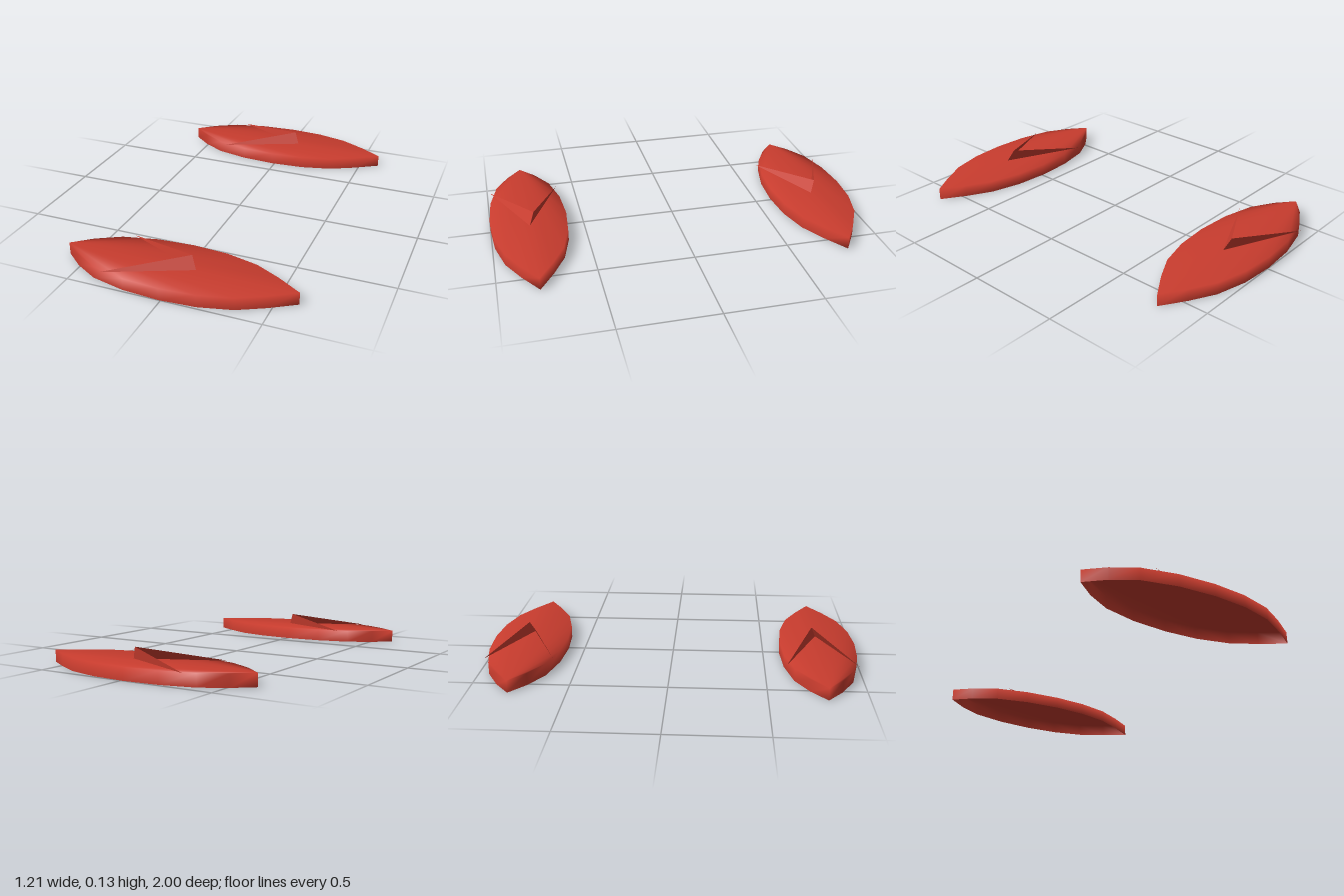
import * as THREE from 'three';

const HEIGHT = 0.065;

function buildGeometry(positions, index) {
  const geometry = new THREE.BufferGeometry();
  geometry.setAttribute('position', new THREE.Float32BufferAttribute(positions, 3));
  if (index) geometry.setIndex(index);
  geometry.computeVertexNormals();
  return geometry;
}

// Leaf-shaped shell, open underneath, with normals shared by the top and the wall
function padGeometry() {
  const half = [[-0.607, 0], [-0.51, 0.08], [-0.385, 0.15], [-0.205, 0.192], [-0.01, 0.205],
    [0.175, 0.192], [0.345, 0.15], [0.48, 0.08], [0.607, 0]];
  const mirrored = half.slice(1, -1).reverse().map(([x, z]) => [x, -z]);
  const ring = [...half, ...mirrored];
  const n = ring.length;
  const positions = [];
  for (const y of [HEIGHT, 0]) for (const [x, z] of ring) positions.push(x, y, z);

  const index = [];
  for (let i = 1; i < n - 1; i++) index.push(0, i, i + 1); // top
  for (let i = 0; i < n; i++) {
    const j = (i + 1) % n;
    index.push(n + i, n + j, j, n + i, j, i); // wall
  }
  return buildGeometry(positions, index);
}

// Two thin triangular fins meeting at a raised peak, open behind
function arrowGeometry() {
  const peak = [0.06, 0.128, -0.026];
  const tip = [0.09, HEIGHT, 0];
  const frontEnd = [-0.335, HEIGHT, 0.187];
  const backEnd = [-0.335, HEIGHT, -0.187];
  return buildGeometry([...frontEnd, ...tip, ...peak, ...tip, ...backEnd, ...peak]);
}

export function createModel() {
  const model = new THREE.Group();
  const red = new THREE.MeshStandardMaterial({ color: 0xc83c2e, side: THREE.DoubleSide });
  red.name = 'red';
  const pad = padGeometry();
  const arrow = arrowGeometry();

  // Two identical floats, one in front and one behind
  for (const [name, z] of [['frontFloat', 0.795], ['backFloat', -0.795]]) {
    const float = new THREE.Group();
    float.name = name;
    const padMesh = new THREE.Mesh(pad, red);
    padMesh.name = 'pad';
    const arrowMesh = new THREE.Mesh(arrow, red);
    arrowMesh.name = 'arrowFins';
    float.add(padMesh, arrowMesh);
    float.position.z = z;
    model.add(float);
  }
  return model;
}
